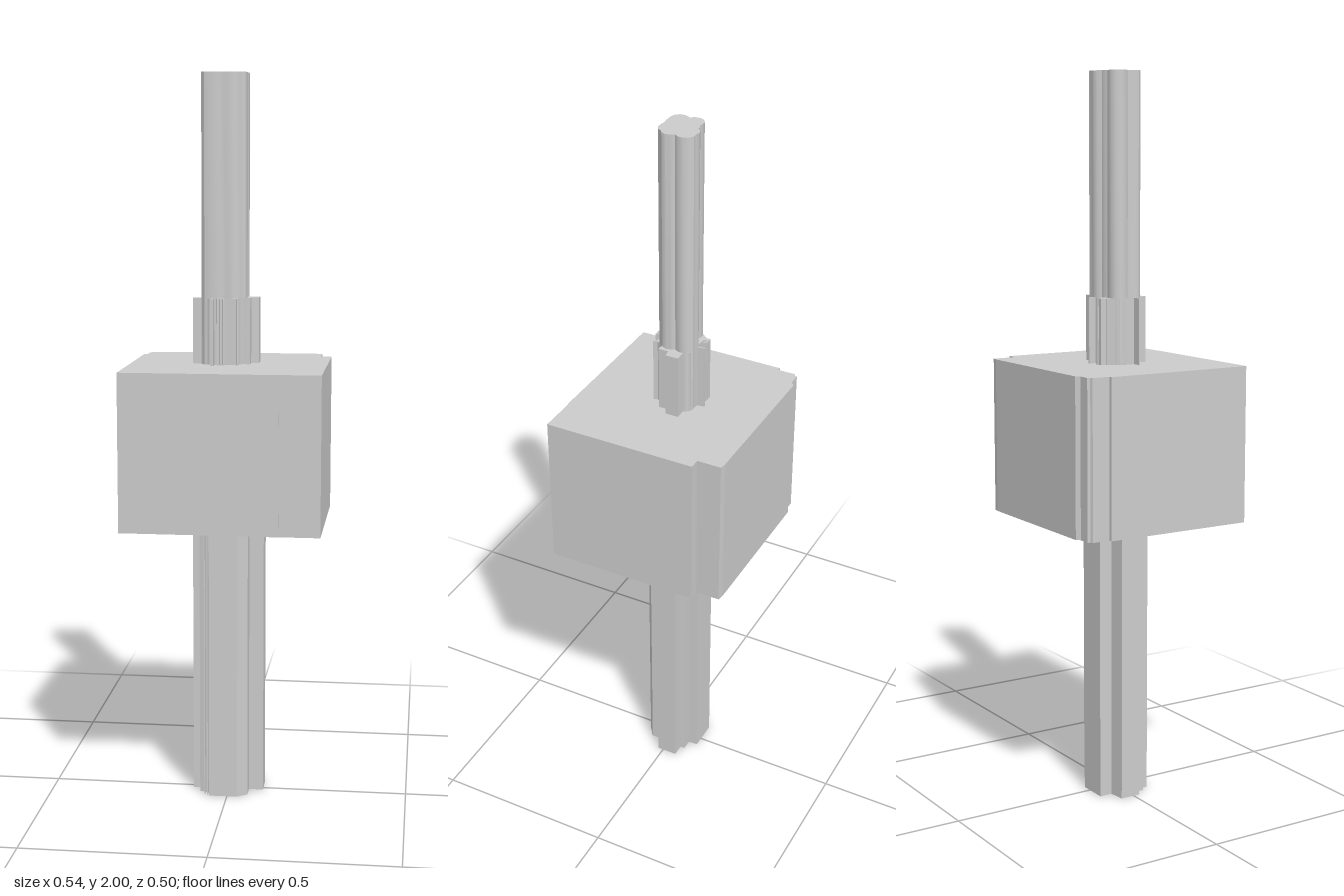
import * as THREE from 'three';
import { toCreasedNormals } from 'three/addons/utils/BufferGeometryUtils.js';

const grey = new THREE.MeshStandardMaterial({ color: 0xcccccc });
grey.name = 'light grey';

// Vertical prism from an [x, z] outline between two heights
function prism(name, outline, bottom, top, crease = 0.6) {
  const shape = new THREE.Shape(outline.map(([x, z]) => new THREE.Vector2(x, z)));
  const geo = new THREE.ExtrudeGeometry(shape, { depth: top - bottom, bevelEnabled: false });
  geo.rotateX(Math.PI / 2).translate(0, top, 0);
  const mesh = new THREE.Mesh(toCreasedNormals(geo, crease), grey);
  mesh.name = name;
  return mesh;
}

// Upright rib from one plan point to another
function rib(name, [x0, z0], [x1, z1], width, bottom, top) {
  const dx = x1 - x0, dz = z1 - z0;
  const mesh = new THREE.Mesh(new THREE.BoxGeometry(Math.hypot(dx, dz), top - bottom, width), grey);
  mesh.position.set((x0 + x1) / 2, (bottom + top) / 2, (z0 + z1) / 2);
  mesh.rotation.y = -Math.atan2(dz, dx);
  mesh.name = name;
  return mesh;
}

export function createModel() {
  const group = new THREE.Group();
  group.name = 'blockOnShaft';

  // Main block with notched back corners
  group.add(prism('block', [
    [-0.27, -0.18], [-0.26, -0.18], [-0.26, -0.23], [-0.253, -0.233], [-0.25, -0.24],
    [-0.216, -0.24], [-0.207, -0.25], [0.22, -0.25], [0.238, -0.247], [0.238, -0.18],
    [0.268, -0.18], [0.268, 0.247], [0.157, 0.247], [0.157, 0.249], [-0.27, 0.249],
  ], 0.79, 1.22, 0.1));

  // Lobed upper shaft
  const lobes = [
    [-0.067, 0], [-0.075, -0.012], [-0.076, -0.026], [-0.069, -0.039], [-0.057, -0.046],
    [-0.044, -0.046], [-0.036, -0.044], [-0.025, -0.049], [-0.016, -0.049], [-0.007, -0.059],
    [0.006, -0.063], [0.016, -0.06], [0.03, -0.061], [0.043, -0.053], [0.049, -0.041],
    [0.048, -0.026], [0.041, -0.015], [0.047, -0.006], [0.049, 0.008], [0.044, 0.021],
    [0.036, 0.026], [0.03, 0.037], [0.018, 0.044], [0, 0.045], [-0.013, 0.042],
    [-0.025, 0.045], [-0.05, 0.045], [-0.065, 0.041], [-0.074, 0.03], [-0.075, 0.015],
  ];
  group.add(prism('upperShaft', lobes, 1.22, 2));

  // Ribbed collar
  const collar = new THREE.Group();
  collar.name = 'collar';
  const [y0, y1] = [1.22, 1.4];
  collar.add(prism('collarCore', [
    [-0.052, -0.058], [0.04, -0.058], [0.045, -0.042], [0.079, -0.042], [0.079, -0.006],
    [0.058, -0.003], [0.058, 0.025], [0.036, 0.025], [0.025, 0.048], [-0.05, 0.048],
    [-0.075, 0.03], [-0.075, -0.03],
  ], y0, y1, 0.1));
  const ribs = [
    [[-0.07, 0.017], [-0.1, 0.017], 0.004],
    [[0.003, -0.05], [0, -0.082], 0.004],
    [[0.022, 0.035], [0.028, 0.057], 0.004],
    [[-0.042, 0.04], [-0.042, 0.071], 0.009],
    [[-0.043, -0.05], [-0.043, -0.073], 0.012],
  ];
  for (const x of [-0.03, -0.022, -0.014]) ribs.push([[x, 0.04], [x + 0.005, 0.069], 0.004]);
  for (const x of [-0.031, -0.024]) ribs.push([[x, -0.05], [x - 0.003, -0.074], 0.003]);
  for (const [from, to, width] of ribs) collar.add(rib('collarRib', from, to, width, y0, y1));
  group.add(collar);

  // Cross-shaped lower shaft
  group.add(prism('lowerShaft', [
    [-0.102, -0.04], [-0.056, -0.045], [-0.056, -0.082], [0.028, -0.082], [0.03, -0.055],
    [0.06, -0.055], [0.062, -0.042], [0.096, -0.042], [0.096, 0.015], [0.056, 0.015],
    [0.056, 0.057], [0.028, 0.078], [-0.05, 0.078], [-0.05, 0.055], [-0.08, 0.045],
    [-0.08, 0.018], [-0.102, 0.017],
  ], 0, 0.79, 0.1));
  for (const [x, z] of [[-0.064, 0.067], [-0.056, 0.072]])
    group.add(rib('lowerShaftRib', [x, 0.045], [x, z], 0.003, 0, 0.79));

  return group;
}
